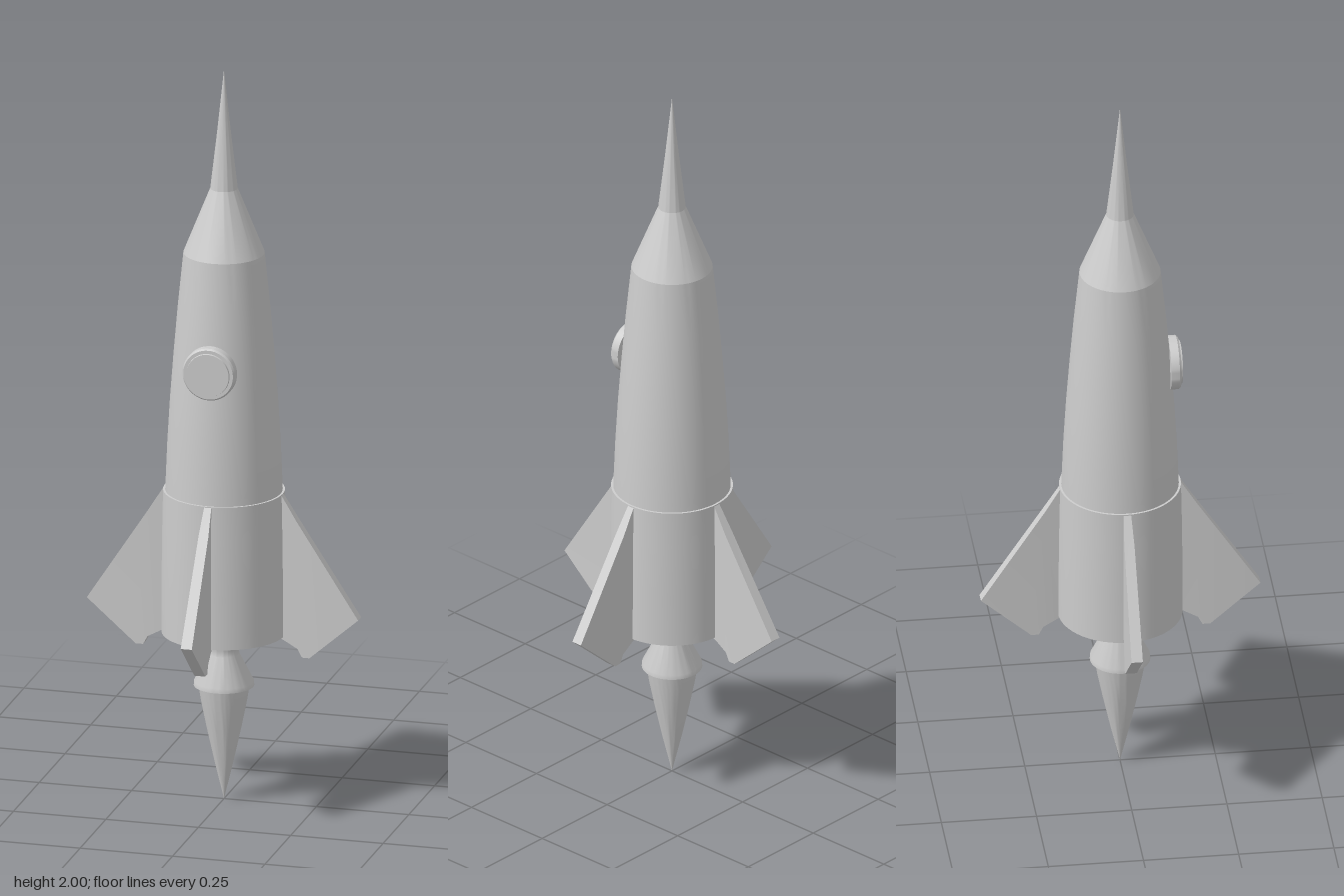
import * as THREE from 'three';
import { toCreasedNormals } from 'three/addons/utils/BufferGeometryUtils.js';

const grey = new THREE.MeshStandardMaterial({ color: 0xcccccc });
grey.name = 'grey';

// Turned part from [radius, height] pairs listed bottom to top
function turned(name, profile, segments = 64) {
  const points = profile.map(([r, y]) => new THREE.Vector2(r, y));
  const mesh = new THREE.Mesh(toCreasedNormals(new THREE.LatheGeometry(points, segments), 0.45), grey);
  mesh.name = name;
  return mesh;
}

// Fin plate, thin at the root and full thickness towards the tip
function finGeometry() {
  const outline = [
    [0.14, 0.462], [0.165, 0.452], [0.203, 0.432], [0.215, 0.41], [0.235, 0.41],
    [0.367, 0.525], [0.2, 0.781], [0.157, 0.85], [0.14, 0.85],
  ];
  const shape = new THREE.Shape(outline.map(([x, y]) => new THREE.Vector2(x, y)));
  const geo = new THREE.ExtrudeGeometry(shape, { depth: 1, bevelEnabled: false });
  const pos = geo.attributes.position;
  for (let i = 0; i < pos.count; i++) {
    const t = THREE.MathUtils.clamp((pos.getX(i) - 0.15) / 0.07, 0, 1);
    const half = 0.009 + 0.006 * t;
    pos.setZ(i, pos.getZ(i) > 0.5 ? half : -half);
  }
  return toCreasedNormals(geo, 0.3);
}

export function createModel() {
  const rocket = new THREE.Group();
  rocket.name = 'rocket';

  // Hull and nose
  rocket.add(turned('hull', [
    [0.154, 0.83], [0.1525, 0.87], [0.148, 0.98], [0.141, 1.1],
    [0.132, 1.22], [0.121, 1.35], [0.106, 1.5],
  ]));
  rocket.add(turned('noseCone', [[0.106, 1.5], [0.036, 1.675]]));
  rocket.add(turned('noseSpike', [[0.036, 1.675], [0.018, 1.83], [0, 2]]));

  // Lower sleeve, closed underneath
  rocket.add(turned('sleeve', [
    [0, 0.46], [0.163, 0.46], [0.163, 0.6], [0.161, 0.75], [0.159, 0.85], [0.15, 0.85],
  ]));

  // Engine bell and flame
  rocket.add(turned('nozzle', [
    [0, 0.313], [0.079, 0.313], [0.078, 0.325], [0.04, 0.4], [0.039, 0.415], [0.05, 0.46],
  ]));
  rocket.add(turned('flame', [
    [0, 0], [0.024, 0.1], [0.046, 0.2], [0.06, 0.27], [0.067, 0.315],
  ]));

  // Round window facing the front
  const porthole = turned('porthole', [
    [0, 0.127], [0.071, 0.127], [0.071, 0.149], [0.067, 0.154],
    [0.058, 0.154], [0.057, 0.159], [0, 0.159],
  ], 48);
  porthole.rotation.x = Math.PI / 2;
  porthole.position.y = 1.21;
  rocket.add(porthole);

  // Four fins
  const finGeo = finGeometry();
  ['finLeft', 'finBack', 'finRight', 'finFront'].forEach((name, i) => {
    const fin = new THREE.Mesh(finGeo, grey);
    fin.name = name;
    fin.rotation.y = i * Math.PI / 2;
    rocket.add(fin);
  });

  return rocket;
}
